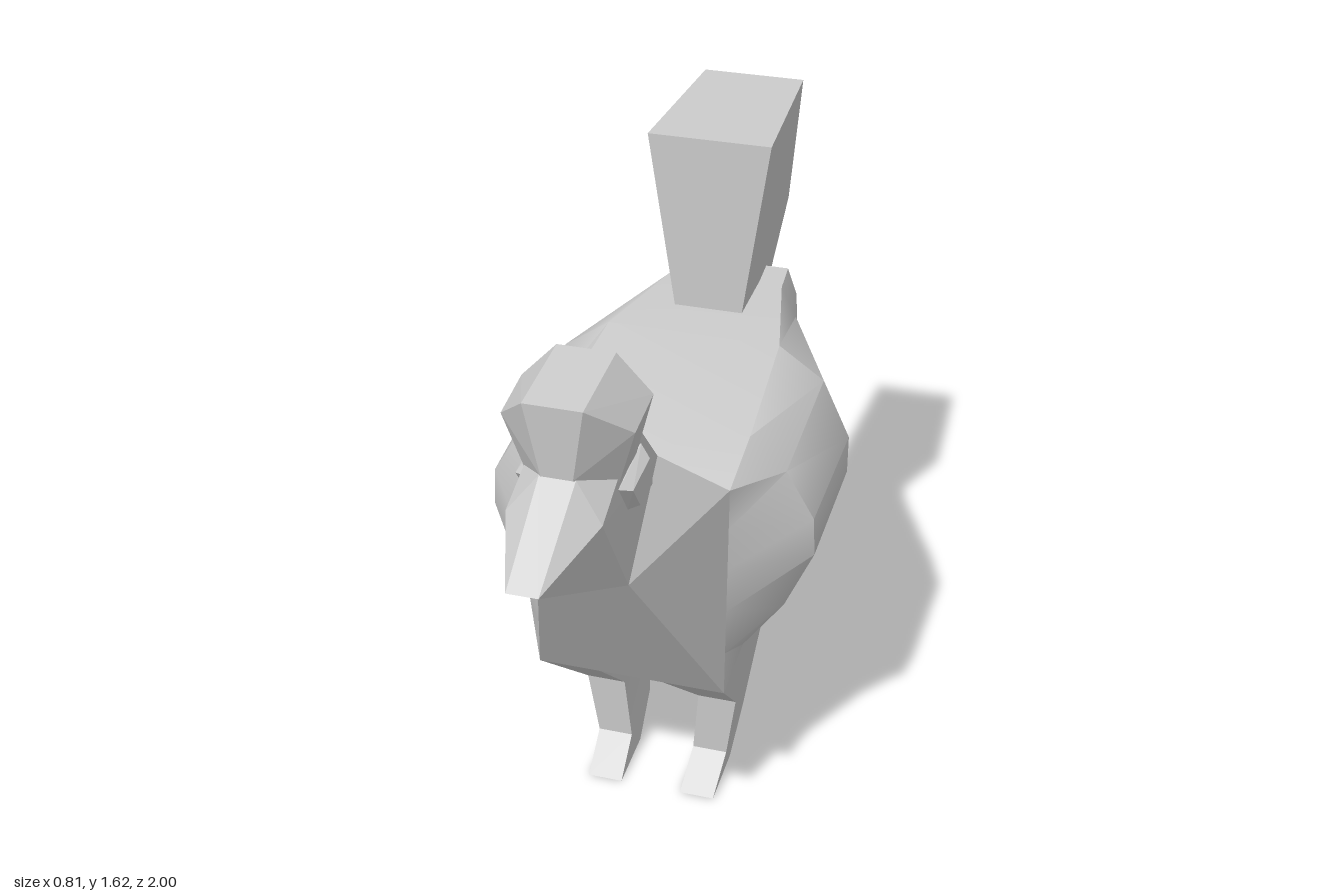
import * as THREE from 'three';
import { toCreasedNormals } from 'three/addons/utils/BufferGeometryUtils.js';
import { ConvexGeometry } from 'three/addons/geometries/ConvexGeometry.js';

const material = new THREE.MeshStandardMaterial({ color: 0xcccccc });

// Skin a list of closed rings of [x, y, z] points and cap both ends.
function loft(rings, crease) {
  const n = rings[0].length, index = [];
  for (let i = 0; i < rings.length - 1; i++) {
    for (let j = 0; j < n; j++) {
      const k = (j + 1) % n;
      const a = i * n + j, b = i * n + k, c = b + n, d = a + n;
      index.push(a, b, c, a, c, d);
    }
  }
  const last = (rings.length - 1) * n;
  for (let j = 1; j < n - 1; j++) {
    index.push(0, j + 1, j, last, last + j, last + j + 1);
  }
  const geo = new THREE.BufferGeometry();
  geo.setAttribute('position', new THREE.Float32BufferAttribute(rings.flat(2), 3));
  geo.setIndex(index);
  return toCreasedNormals(geo, crease);
}

// Faceted solid around points given for the left half and mirrored across x.
function mirroredHull(half) {
  return new ConvexGeometry(half.flatMap(([x, y, z]) => [
    new THREE.Vector3(x, y, z), new THREE.Vector3(-x, y, z)]));
}

export function createModel() {
  const group = new THREE.Group();
  const add = (name, geo) => {
    const mesh = new THREE.Mesh(geo, material);
    mesh.name = name;
    group.add(mesh);
  };

  // Body: half sections from belly to back, rump first, breast last
  const sections = [
    [-0.67, [[0.06, 0.73], [0.11, 0.82], [0.17, 0.94], [0.17, 1.0], [0.165, 1.08], [0.14, 1.15]]],
    [-0.56, [[0.16, 0.73], [0.18, 0.82], [0.2, 0.9], [0.2, 0.98], [0.19, 1.07], [0.15, 1.15]]],
    [-0.25, [[0.235, 0.555], [0.335, 0.68], [0.405, 0.82], [0.405, 0.92], [0.335, 1.07], [0.22, 1.15]]],
    [0.11, [[0.235, 0.5], [0.335, 0.64], [0.405, 0.8], [0.4, 0.9], [0.33, 1.02], [0.24, 1.1]]],
    [0.29, [[0.235, 0.48], [0.235, 0.6], [0.235, 0.72], [0.235, 0.84], [0.235, 0.95], [0.24, 1.06]]],
  ];
  add('body', loft(sections.map(([z, half]) => [
    ...half.map(([x, y]) => [x, y, z]),
    ...half.slice().reverse().map(([x, y]) => [-x, y, z]),
  ]), 0.65));

  // Neck and wedge-shaped head with beak share one slanted section
  const throat = [[0.105, 1.2, 0.41], [0.105, 1.0, 0.63]];
  add('neck', mirroredHull([[0.24, 1.06, 0.29], [0.235, 0.48, 0.29], ...throat]));
  add('headAndBeak', mirroredHull([
    ...throat, [0.1, 1.36, 0.55], [0.04, 1.34, 0.77], [0.105, 1.26, 0.8], [0.035, 1.2, 1.0],
  ]));

  // Crest on the head
  add('crest', mirroredHull([
    [0.065, 1.515, 0.79], [0.065, 1.535, 0.57], [0.145, 1.43, 0.7], [0.145, 1.45, 0.57],
    [0.035, 1.34, 0.775], [0.1, 1.28, 0.68], [0.1, 1.28, 0.56],
  ]));

  // Eyes: a small bevelled band through the head
  add('eyes', mirroredHull([
    [0.105, 1.3, 0.53], [0.105, 1.28, 0.69], [0.105, 1.195, 0.52], [0.105, 1.195, 0.63],
    [0.13, 1.28, 0.55], [0.13, 1.27, 0.67], [0.13, 1.205, 0.53], [0.13, 1.205, 0.62],
  ]));

  // Upright tail
  add('tail', mirroredHull([
    [0.155, 1.61, -0.38], [0.13, 1.615, -0.815], [0.06, 1.2, -1.0],
    [0.055, 0.94, -0.67], [0.085, 1.13, -0.39],
  ]));

  // Legs: [inner x, outer x, front y, front z, back y, back z] from hip to toe
  const legSections = [
    [0.08, 0.235, 0.48, 0.29, 0.56, -0.28],
    [0.1, 0.2, 0.25, 0.03, 0.28, -0.18],
    [0.085, 0.175, 0.07, 0.02, 0.1, -0.15],
    [0.08, 0.17, 0, 0.13, 0.01, -0.04],
  ];
  for (const side of [1, -1]) {
    const rings = legSections.map(([inner, outer, fy, fz, by, bz]) => {
      const [lo, hi] = side > 0 ? [inner, outer] : [-outer, -inner];
      return [[hi, by, bz], [hi, fy, fz], [lo, fy, fz], [lo, by, bz]];
    });
    add(side > 0 ? 'leftLeg' : 'rightLeg', loft(rings, 0.3));
  }
  return group;
}
